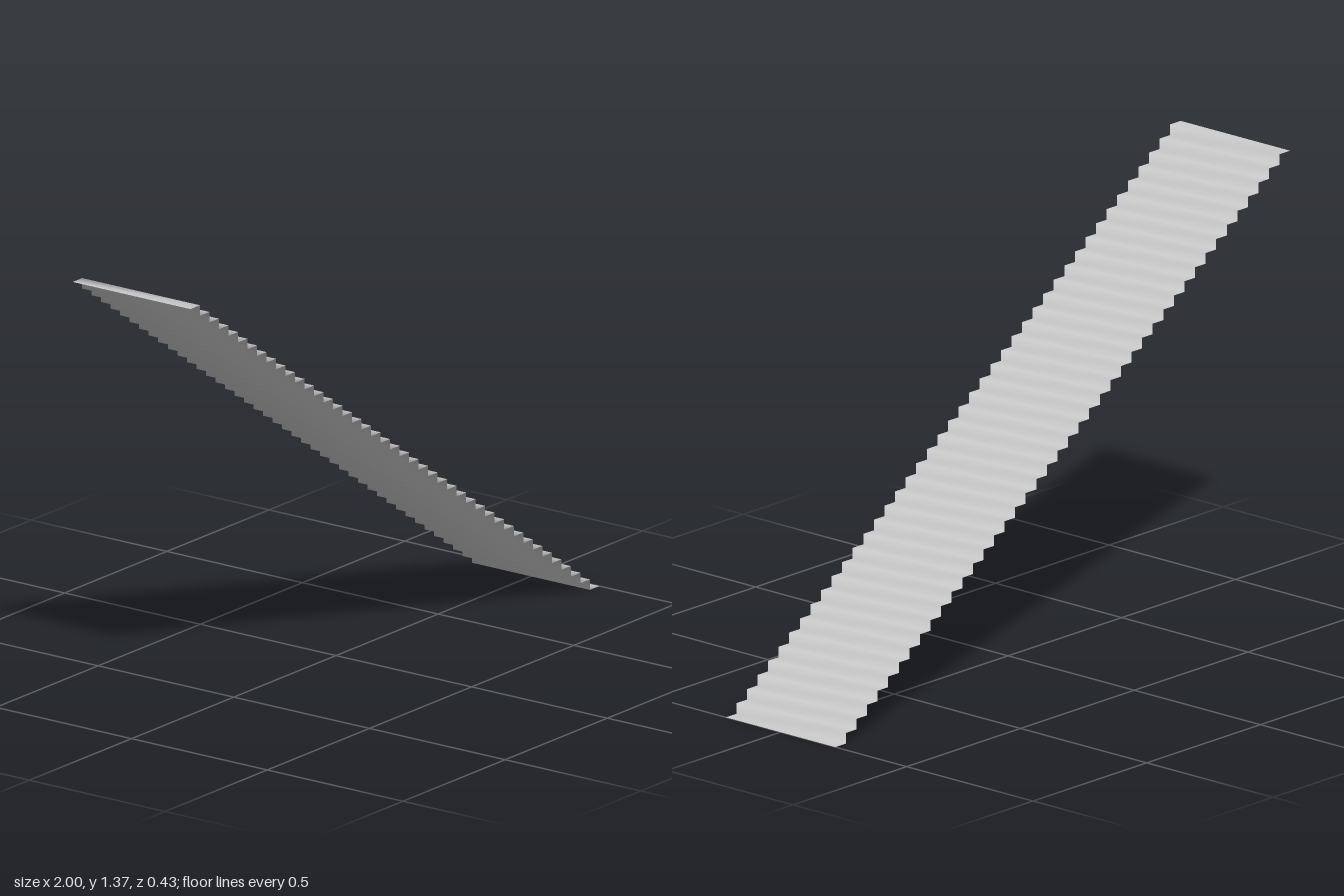
import * as THREE from 'three';

const RISERS = 42;
const TREADS = RISERS + 1;
const HEIGHT = 1.37;
const HALF_WIDTH = 0.217;

// Stair outline from the top tread (-x) down to the bottom tread (+x)
function stairProfile() {
  const run = 2 / TREADS, rise = HEIGHT / RISERS;
  const points = [];
  for (let i = 0; i < TREADS; i++) {
    const y = HEIGHT - i * rise;
    points.push([-1 + i * run, y], [-1 + (i + 1) * run, y]);
  }
  return points;
}

// Thin sheet swept across z, with normals shared over the folds for soft shading
function sheetGeometry(profile) {
  const positions = [], index = [];
  profile.forEach(([x, y], i) => {
    positions.push(x, y, -HALF_WIDTH, x, y, HALF_WIDTH);
    if (i === profile.length - 1) return;
    const a = 2 * i, b = a + 1, c = a + 2, d = a + 3;
    index.push(a, b, d, a, d, c);
  });
  const geometry = new THREE.BufferGeometry();
  geometry.setAttribute('position', new THREE.Float32BufferAttribute(positions, 3));
  geometry.setIndex(index);
  geometry.computeVertexNormals();
  return geometry;
}

export function createModel() {
  const group = new THREE.Group();
  group.name = 'staircase';
  const material = new THREE.MeshStandardMaterial({ color: 0xcccccc, side: THREE.DoubleSide });
  const steps = new THREE.Mesh(sheetGeometry(stairProfile()), material);
  steps.name = 'steps';
  group.add(steps);
  return group;
}
